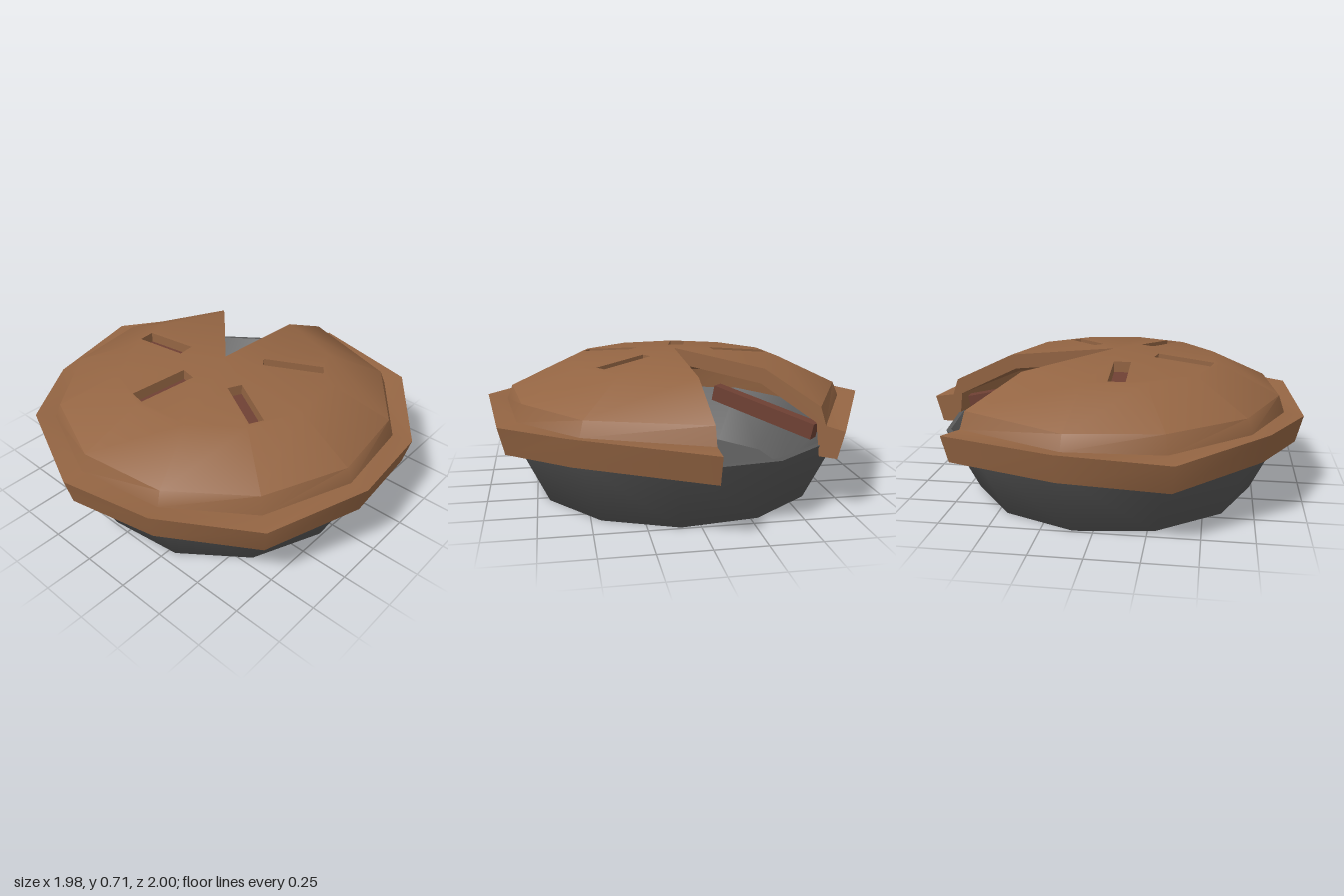
import * as THREE from 'three';
import { toCreasedNormals } from 'three/addons/utils/BufferGeometryUtils.js';

const rad = THREE.MathUtils.degToRad;
const crustMat = new THREE.MeshStandardMaterial({ color: 0x946543 });
crustMat.name = 'baked crust';
const fillingMat = new THREE.MeshStandardMaterial({ color: 0x6e4033, side: THREE.DoubleSide });
fillingMat.name = 'fruit filling';
const panMat = new THREE.MeshStandardMaterial({ color: 0x585858 });
panMat.name = 'dark pan';

// Crust corners around the pie; the gap between last and first is the missing slice
const angles = [-92, ...Array.from({ length: 9 }, (_, k) => -52.6 + 30 * k), 227];

// Crust section from the dome ring out over the rim and back below: radius, height, wave
const profile = [
  [0.56, 0.667, 0], [0.87, 0.52, 0], [0.9, 0.44, 0.3], [1, 0.445, 1],
  [0.965, 0.305, 1], [0.87, 0.3, 1], [0.85, 0.44, 0], [0.54, 0.59, 0], [0, 0.635, 0],
];
const apexY = 0.715;

// Vent slits: centre x, centre z, direction, length, width
const slits = [
  [0.29, -0.2, -35, 0.31, 0.06], [0.325, 0.217, 27, 0.28, 0.075],
  [-0.08, 0.373, 102, 0.3, 0.085], [-0.37, 0.075, 178, 0.3, 0.085],
];
// Each slit sits in a fan of the dome between two crust corners
const fans = [[0, 3], [3, 5], [5, 7], [7, 10]];

const wave = (i) => (i % 2 ? 0.025 : -0.025);
const domeY = (x, z) => apexY - (apexY - 0.667) * Math.min(1, Math.hypot(x, z) / 0.56);

function sectionPoint(i, [r, y, w]) {
  const a = rad(angles[i]);
  const rr = i === 0 || i === angles.length - 1 ? r * 1.005 : r;
  return new THREE.Vector3(rr * Math.cos(a), y + w * wave(i), rr * Math.sin(a));
}

function slitCorners([cx, cz, deg, len, wid]) {
  const c = Math.cos(rad(deg)), s = Math.sin(rad(deg));
  return [[-1, -1], [1, -1], [1, 1], [-1, 1]].map(([u, v]) => {
    const a = u * len / 2, b = v * wid / 2;
    return new THREE.Vector2(cx + a * c - b * s, cz + a * s + b * c);
  });
}

function meshOf(geometry, material, name) {
  const mesh = new THREE.Mesh(geometry, material);
  mesh.name = name;
  return mesh;
}

function buildCrust() {
  const out = [];
  const tri = (...pts) => pts.forEach((p) => out.push(p.x, p.y, p.z));
  const quad = (a, b, c, d) => { tri(a, b, c); tri(a, c, d); };

  // Dome side, wavy rim and underside
  for (let i = 0; i < angles.length - 1; i++) {
    for (let j = 0; j < profile.length - 1; j++) {
      const p = profile[j], q = profile[j + 1];
      quad(sectionPoint(i, p), sectionPoint(i + 1, p), sectionPoint(i + 1, q), sectionPoint(i, q));
    }
  }

  // Dome top with the slits cut through
  fans.forEach(([from, to], n) => {
    const outline = [new THREE.Vector2(0, 0)];
    for (let i = from; i <= to; i++) {
      const p = sectionPoint(i, profile[0]);
      outline.push(new THREE.Vector2(p.x, p.z));
    }
    const hole = slitCorners(slits[n]);
    const all = [...outline, ...hole.slice().reverse()];
    const lift = (p, drop = 0) => new THREE.Vector3(p.x, domeY(p.x, p.y) - drop, p.y);
    const faces = THREE.ShapeUtils.triangulateShape(outline, [hole.slice().reverse()]);
    for (const [a, b, c] of faces) {
      const [A, B, C] = [all[a], all[b], all[c]];
      const turn = (B.x - A.x) * (C.y - A.y) - (B.y - A.y) * (C.x - A.x);
      if (turn > 0) tri(lift(A), lift(C), lift(B));
      else tri(lift(A), lift(B), lift(C));
    }
    hole.forEach((p, k) => {
      const q = hole[(k + 1) % 4];
      quad(lift(p, 0.055), lift(q, 0.055), lift(q), lift(p));
    });
  });

  // Cut faces on both sides of the missing slice
  for (const i of [0, angles.length - 1]) {
    const section = [[0, apexY, 0], ...profile];
    const flat = section.map(([r, y, w]) => new THREE.Vector2(r, y + w * wave(i)));
    for (const [a, b, c] of THREE.ShapeUtils.triangulateShape(flat, [])) {
      const P = [a, b, c].map((k) => sectionPoint(i, section[k]));
      const ccw = (flat[b].x - flat[a].x) * (flat[c].y - flat[a].y)
        - (flat[b].y - flat[a].y) * (flat[c].x - flat[a].x) > 0;
      if (ccw === (i === 0)) P.reverse();
      tri(...P);
    }
  }

  const geometry = new THREE.BufferGeometry();
  geometry.setAttribute('position', new THREE.Float32BufferAttribute(out, 3));
  return toCreasedNormals(geometry, 0.75);
}

// Twelve-sided lathe aligned with the crust corners
function panPart(points, crease) {
  const lathe = new THREE.LatheGeometry(points.map(([r, y]) => new THREE.Vector2(r, y)), 12, rad(22.6));
  return toCreasedNormals(lathe, crease);
}

// Filling strip laid between two points
function strip(from, to, width, height, name) {
  const a = new THREE.Vector3(...from), b = new THREE.Vector3(...to);
  const mesh = meshOf(new THREE.BoxGeometry(width, height, a.distanceTo(b)), fillingMat, name);
  mesh.position.copy(a).lerp(b, 0.5);
  mesh.lookAt(b);
  return mesh;
}

export function createModel() {
  const pie = new THREE.Group();
  pie.name = 'pie';

  pie.add(meshOf(buildCrust(), crustMat, 'crust'));

  const pan = new THREE.Group();
  pan.name = 'pan';
  pan.add(meshOf(panPart([[0, 0], [0.745, 0], [0.905, 0.33]], 1.3), panMat, 'panOutside'));
  pan.add(meshOf(panPart([[0.905, 0.33], [0.88, 0.335], [0.61, 0.04], [0, 0.04]], 0.75), panMat, 'panInside'));
  pie.add(pan);

  // Filling seen at the bottom of each slit
  for (const slit of slits) {
    const corners = slitCorners(slit);
    const pts = [0, 2, 1, 0, 3, 2].flatMap((k) => {
      const { x, y: z } = corners[k];
      return [x, domeY(x, z) - 0.054, z];
    });
    const floor = new THREE.BufferGeometry();
    floor.setAttribute('position', new THREE.Float32BufferAttribute(pts, 3));
    floor.computeVertexNormals();
    pie.add(meshOf(floor, fillingMat, 'slitFilling'));
  }

  // Filling strips exposed beside the cuts
  pie.add(strip([0.03, 0.5, -0.25], [0.02, 0.38, -0.82], 0.06, 0.08, 'fillingStrip'));
  pie.add(strip([0.01, 0.5, -0.15], [0.03, 0.22, -0.64], 0.05, 0.05, 'fillingStrip'));
  pie.add(strip([-0.2, 0.5, -0.15], [-0.6, 0.38, -0.56], 0.06, 0.08, 'fillingStrip'));
  return pie;
}
